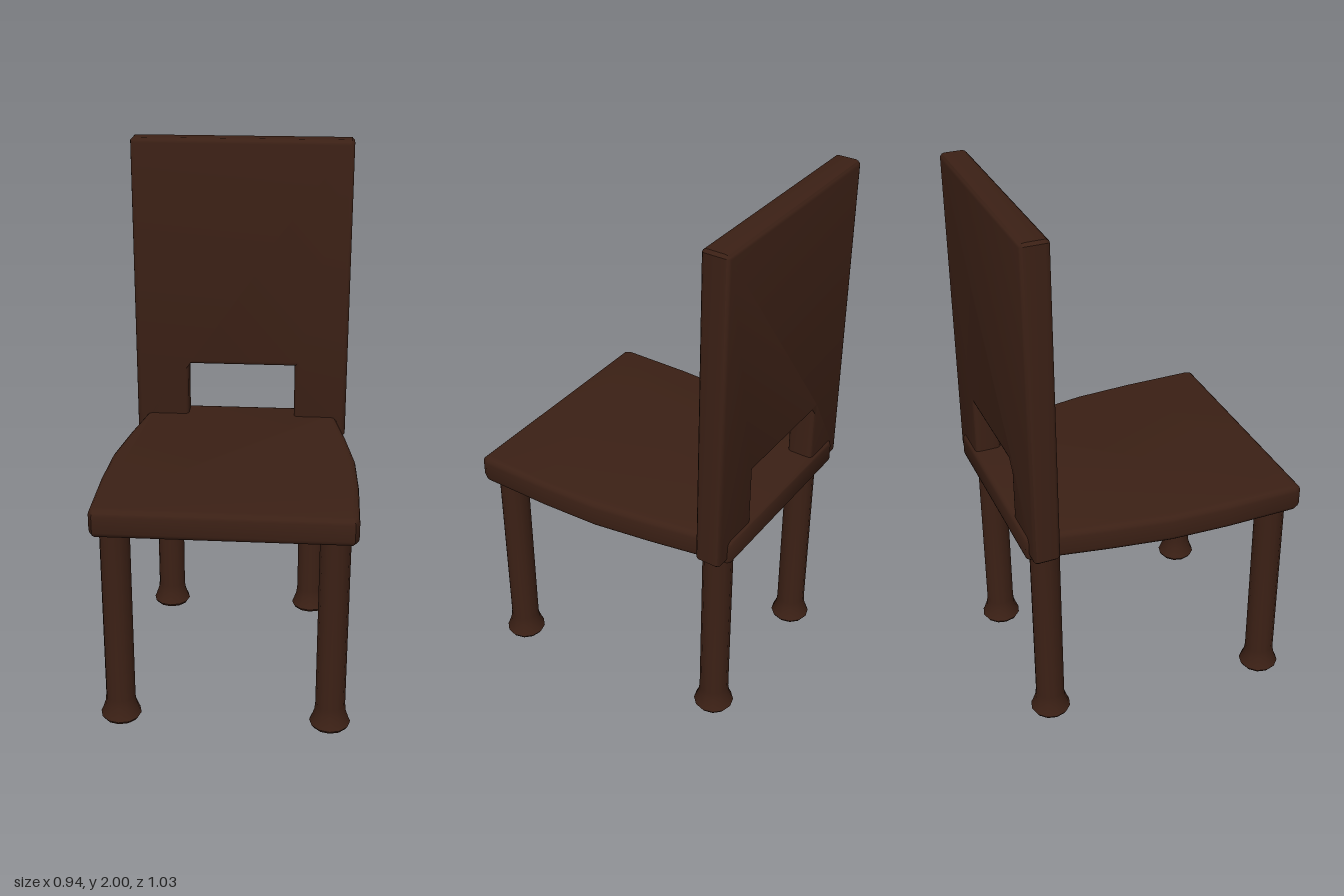
import * as THREE from 'three';
import { toCreasedNormals } from 'three/addons/utils/BufferGeometryUtils.js';

const wood = new THREE.MeshStandardMaterial({ color: 0x3b2015 });

// Rounded slab: the outline and thickness are the finished outer sizes
function slab(points, thickness, bevel) {
  const shape = new THREE.Shape(points.map(([x, y]) => new THREE.Vector2(x, y)));
  const geometry = new THREE.ExtrudeGeometry(shape, {
    depth: thickness - 2 * bevel, bevelSize: bevel, bevelThickness: bevel,
    bevelOffset: -bevel, bevelSegments: 3,
  });
  geometry.translate(0, 0, bevel);
  return toCreasedNormals(geometry, 0.75);
}

// Completes a right-hand half outline with its mirror image
const mirrored = (half) => [...half, ...half.map(([x, y]) => [-x, y]).reverse()];

function part(name, geometry) {
  const mesh = new THREE.Mesh(geometry, wood);
  mesh.name = name;
  return mesh;
}

export function createModel() {
  const chair = new THREE.Group();
  chair.name = 'chair';

  // Seat: tapers in a gentle curve towards the back
  const seatHalf = [
    [0.455, -0.515], [0.47, -0.49], [0.47, -0.22], [0.46, 0],
    [0.425, 0.22], [0.385, 0.43], [0.372, 0.51], [0.36, 0.52],
  ];
  const seatGeometry = slab(mirrored(seatHalf), 0.105, 0.022);
  seatGeometry.rotateX(-Math.PI / 2);
  const seat = part('seat', seatGeometry);
  seat.position.y = 0.78;
  chair.add(seat);

  // Backrest: one panel standing on two posts, with an opening above the seat
  const backHalf = [
    [0.215, 1.1], [0.215, 0.8], [0.415, 0.8], [0.425, 0.81], [0.425, 1.99], [0.415, 2],
  ];
  const backrest = part('backrest', slab(mirrored(backHalf), 0.1, 0.018));
  backrest.position.z = -0.51;
  chair.add(backrest);

  // Legs: round posts with flared feet
  const profile = [
    [0, 0], [0.068, 0], [0.076, 0.012], [0.07, 0.025], [0.058, 0.06], [0.055, 0.09], [0.055, 0.8],
  ].map(([r, y]) => new THREE.Vector2(r, y));
  const legGeometry = toCreasedNormals(new THREE.LatheGeometry(profile, 12), 0.85);
  for (const [end, x, z] of [['front', 0.39, 0.43], ['back', 0.3, -0.43]]) {
    for (const side of [1, -1]) {
      const leg = part(end + (side > 0 ? 'Left' : 'Right') + 'Leg', legGeometry);
      leg.position.set(side * x, 0, z);
      chair.add(leg);
    }
  }
  return chair;
}
